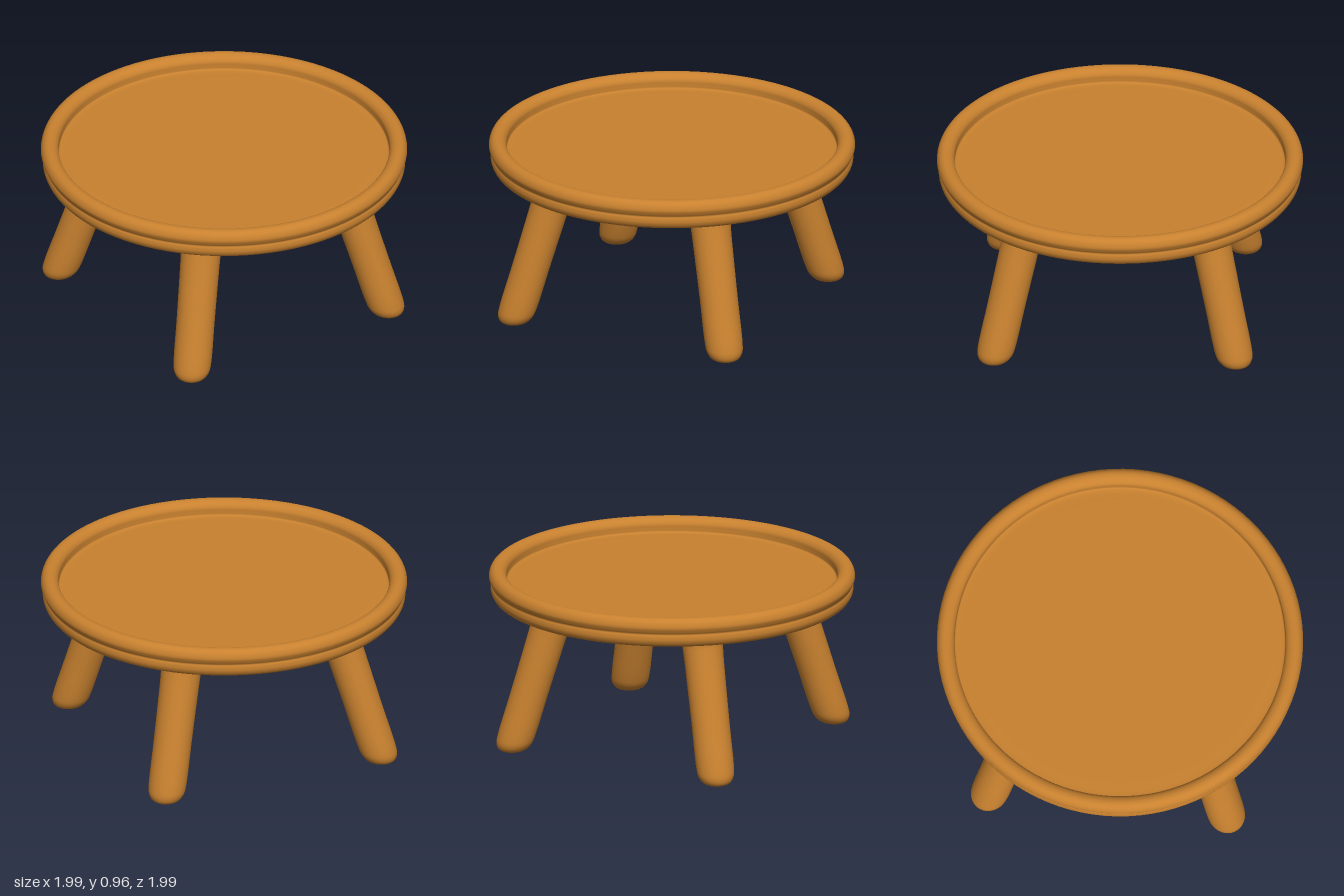
import * as THREE from 'three';

const wood = new THREE.MeshStandardMaterial({ color: 0xc8812f });
wood.name = 'warm wood';

// Smooth lathe from a few [radius, height] points
function turned(points, steps, segments) {
  const curve = new THREE.CatmullRomCurve3(
    points.map(([r, y]) => new THREE.Vector3(r, y, 0)), false, 'centripetal');
  const profile = curve.getPoints(steps).map(p => new THREE.Vector2(Math.max(p.x, 0), p.y));
  return new THREE.LatheGeometry(profile, segments);
}

export function createModel() {
  const group = new THREE.Group();
  group.name = 'stool';

  const add = (geometry, name) => {
    const mesh = new THREE.Mesh(geometry, wood);
    mesh.name = name;
    group.add(mesh);
  };

  // Round top: slightly domed underside, lower band, shallow groove, raised rim and sunken seat
  add(turned([
    [0, 0.79], [0.45, 0.791], [0.82, 0.795], [0.92, 0.801], [0.968, 0.814],
    [0.985, 0.842], [0.985, 0.868], [0.981, 0.882], [0.988, 0.896], [0.996, 0.92],
    [0.986, 0.95], [0.966, 0.966], [0.942, 0.968], [0.917, 0.957], [0.902, 0.936],
    [0.9, 0.91], [0.898, 0.894], [0.885, 0.889], [0.8, 0.889], [0.4, 0.89], [0, 0.89],
  ], 126, 96), 'seatTop');

  // Splayed legs: rounded foot, straight shaft, soft flare into the underside
  const legProfile = [
    [0, 0.004], [0.045, 0.006], [0.078, 0.02], [0.097, 0.05], [0.103, 0.095],
    [0.104, 0.3], [0.106, 0.5], [0.11, 0.7], [0.115, 0.755], [0.126, 0.782], [0.15, 0.803],
  ];
  const legs = [
    ['frontLeftLeg', 0.40, 0.81, 0.31, 0.6],
    ['frontRightLeg', -0.825, 0.38, -0.61, 0.265],
    ['backLeftLeg', 0.825, -0.37, 0.62, -0.265],
    ['backRightLeg', -0.40, -0.80, -0.31, -0.595],
  ];
  for (const [name, footX, footZ, topX, topZ] of legs) {
    const geometry = turned(legProfile, 44, 32);
    // Lean the leg by sliding each level from foot to top
    const sx = (topX - footX) / 0.72, sz = (topZ - footZ) / 0.72;
    geometry.applyMatrix4(new THREE.Matrix4().set(
      1, sx, 0, footX - sx * 0.06,
      0, 1, 0, 0,
      0, sz, 1, footZ - sz * 0.06,
      0, 0, 0, 1));
    add(geometry, name);
  }
  return group;
}
